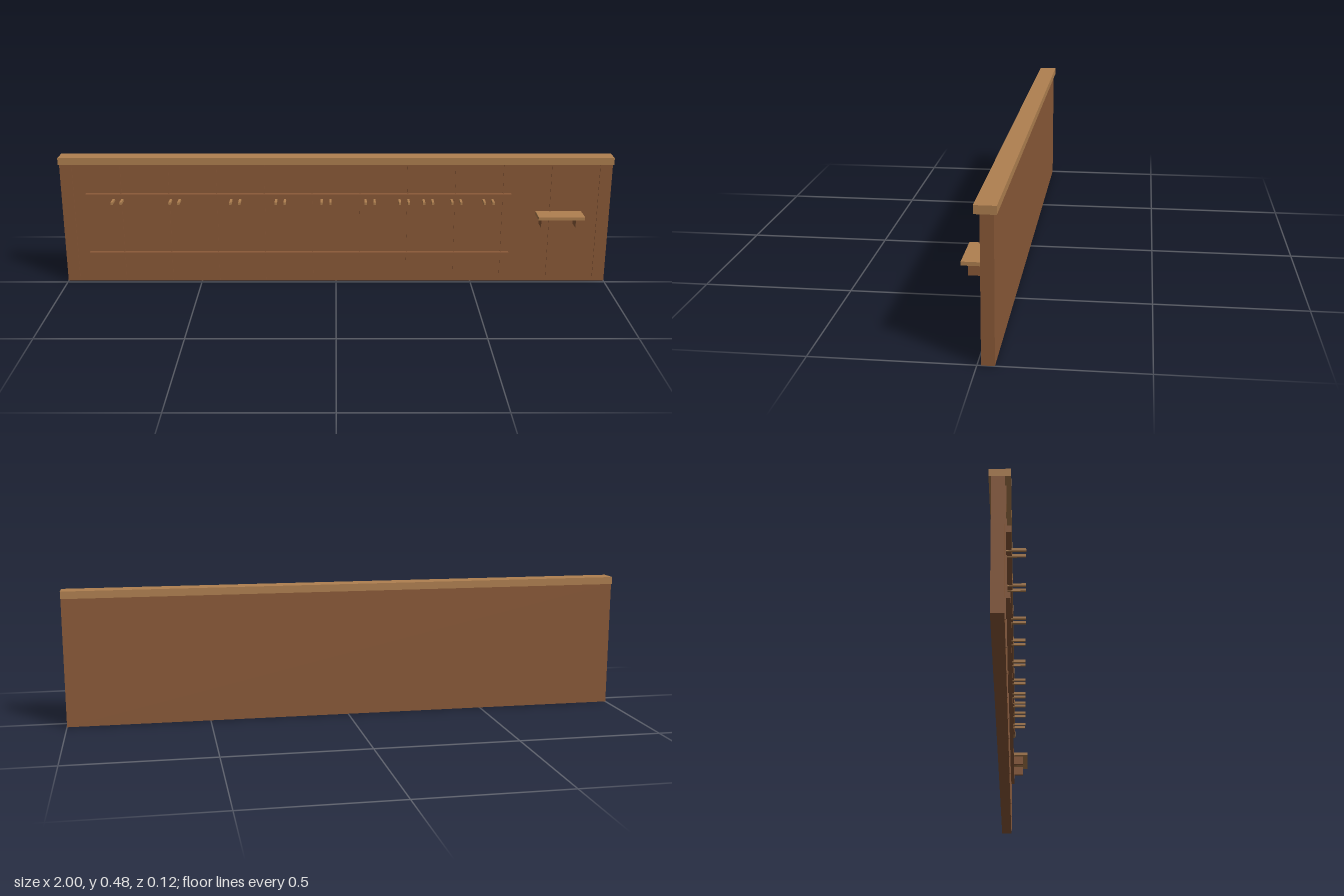
import * as THREE from 'three';

export function createModel() {
  const model = new THREE.Group();
  const darkWood = new THREE.MeshStandardMaterial({ color: 0x8b5a38 });
  darkWood.name = 'darkWood';
  const lightWood = new THREE.MeshStandardMaterial({ color: 0xb08050 });
  lightWood.name = 'lightWood';

  // Box given by its minimum and maximum along each axis
  function box(name, material, [x0, x1], [y0, y1], [z0, z1]) {
    const mesh = new THREE.Mesh(new THREE.BoxGeometry(x1 - x0, y1 - y0, z1 - z0), material);
    mesh.position.set((x0 + x1) / 2, (y0 + y1) / 2, (z0 + z1) / 2);
    mesh.name = name;
    model.add(mesh);
  }
  const around = (x, width) => [x - width / 2, x + width / 2];

  // Wall and its overhanging cap
  box('wall', darkWood, [-1, 1], [0, 0.454], [-0.052, -0.012]);
  box('cap', lightWood, [-1, 1], [0.454, 0.48], [-0.06, 0.006]);

  // Thin upright seams between the boards
  for (let i = 0; i < 12; i++) {
    box('seam', darkWood, around((i - 5.5) * 0.174, 0.004), [0.004, 0.451], [-0.014, -0.0085]);
  }

  // Long rails
  box('upperRail', darkWood, [-0.91, 0.637], [0.32, 0.343], [-0.013, 0.006]);
  box('lowerRail', darkWood, [-0.91, 0.637], [0.098, 0.118], [-0.013, 0.004]);

  // Pairs of pegs under the upper rail
  for (const x of [-0.791, -0.583, -0.364, -0.201, -0.036, 0.123, 0.246, 0.333, 0.435, 0.551]) {
    for (const side of [-1, 1]) {
      box('peg', lightWood, around(x + side * 0.016, 0.008), [0.318, 0.327], [-0.013, 0.05]);
    }
  }

  // Small shelf on two brackets
  box('shelf', lightWood, [0.73, 0.897], [0.262, 0.274], [-0.013, 0.06]);
  for (const x of [0.751, 0.876]) {
    box('shelfBracket', darkWood, around(x, 0.014), [0.227, 0.262], [-0.013, 0.041]);
  }
  return model;
}
